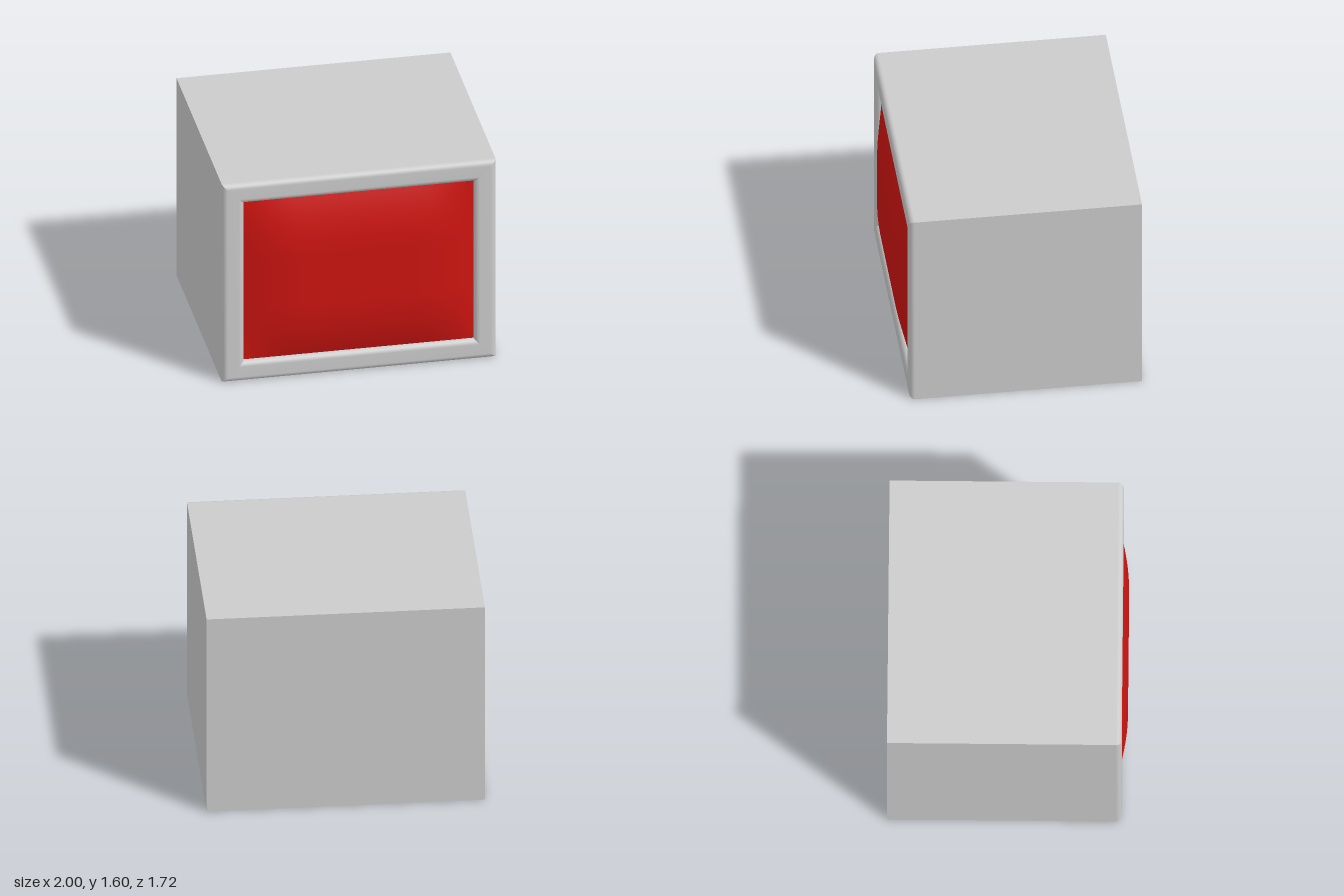
import * as THREE from 'three';

const BACK = -0.86, FRONT = 0.82, R = 0.04, RIM = 0.16, H = 0.8;

// Outline from the back edge, over the rounded rim, down to the screen: [inset, z]
function casingProfile() {
  const pts = [[0, BACK]];
  const n = 6;
  for (let i = 0; i <= n; i++) {
    const a = (i / n) * Math.PI / 2;
    pts.push([R - R * Math.cos(a), FRONT - R + R * Math.sin(a)]);
  }
  for (let i = 0; i <= n; i++) {
    const a = (i / n) * Math.PI / 2;
    pts.push([RIM - R + R * Math.sin(a), FRONT - R + R * Math.cos(a)]);
  }
  pts.push([RIM, 0.74]);
  return pts;
}

// One mitred side between two neighbouring corners, given as sign pairs
function casingSide([ax, ay], [bx, by]) {
  const pos = [], index = [];
  casingProfile().forEach(([inset, z], i) => {
    pos.push(ax * (1 - inset), H + ay * (H - inset), z);
    pos.push(bx * (1 - inset), H + by * (H - inset), z);
    if (i > 0) {
      const k = 2 * i - 2;
      index.push(k, k + 1, k + 3, k, k + 3, k + 2);
    }
  });
  const geo = new THREE.BufferGeometry();
  geo.setAttribute('position', new THREE.Float32BufferAttribute(pos, 3));
  geo.setIndex(index);
  geo.computeVertexNormals();
  return geo;
}

// Pillow-shaped screen: flat in the middle, falling away towards all edges
function screenGeometry() {
  const hw = 1 - RIM, hh = H - RIM, band = 0.44, depth = 0.08;
  const geo = new THREE.PlaneGeometry(hw * 2, hh * 2, 48, 40);
  const p = geo.attributes.position;
  const rise = (v, half) => 1 - Math.max(0, (Math.abs(v) - half + band) / band) ** 2;
  for (let i = 0; i < p.count; i++) {
    const f = rise(p.getX(i), hw) * rise(p.getY(i), hh);
    p.setZ(i, 0.86 - depth * (1 - f));
  }
  geo.computeVertexNormals();
  return geo;
}

export function createModel() {
  const group = new THREE.Group();
  group.name = 'monitor';
  const grey = new THREE.MeshStandardMaterial({ color: 0xcccccc });
  const red = new THREE.MeshStandardMaterial({ color: 0xcc1410 });

  const add = (geo, mat, name) => {
    const mesh = new THREE.Mesh(geo, mat);
    mesh.name = name;
    group.add(mesh);
    return mesh;
  };

  // Casing walls with the rounded front rim
  const corners = [[-1, -1], [1, -1], [1, 1], [-1, 1]];
  ['casingBottom', 'casingLeft', 'casingTop', 'casingRight'].forEach((name, i) =>
    add(casingSide(corners[i], corners[(i + 1) % 4]), grey, name));

  // Closed back
  const back = add(new THREE.PlaneGeometry(2, 2 * H), grey, 'backPanel');
  back.rotation.y = Math.PI;
  back.position.set(0, H, BACK);

  // Bulging screen
  add(screenGeometry(), red, 'screen').position.y = H;

  return group;
}
